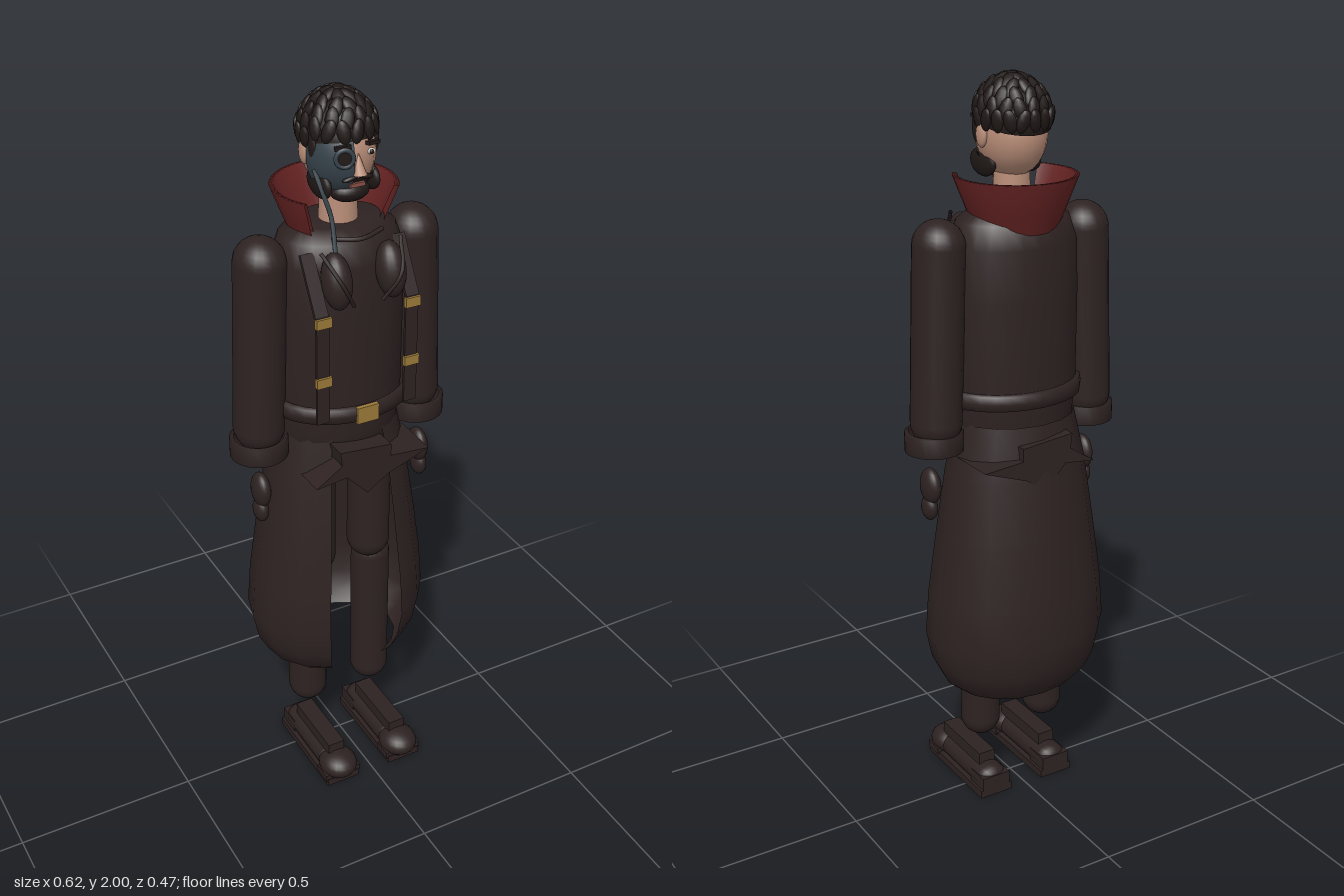
import * as THREE from 'three';

const mat = (name, color, double) => {
  const m = new THREE.MeshStandardMaterial({ color });
  m.name = name;
  if (double) m.side = THREE.DoubleSide;
  return m;
};

export function createModel() {
  const g = new THREE.Group();
  const coat = mat('darkCoat', 0x2e2222, true);
  const red = mat('collarRed', 0x642222, true);
  const gold = mat('brass', 0x9c7a3a);
  const skin = mat('skin', 0xb98d78);
  const hair = mat('hair', 0x201917, true);
  const metal = mat('blueMetal', 0x36424a, true);
  const lip = mat('lips', 0x8a5046);
  const white = mat('eyeWhite', 0xcfc8c0);

  const add = (name, geo, m, pos = [0, 0, 0], scale = [1, 1, 1], rot = [0, 0, 0]) => {
    const o = new THREE.Mesh(geo, m);
    o.name = name;
    o.position.set(...pos);
    o.scale.set(...scale);
    o.rotation.set(...rot);
    g.add(o);
    return o;
  };
  const ball = new THREE.SphereGeometry(1, 20, 14);
  const box = new THREE.BoxGeometry(1, 1, 1);
  const lathe = (pts, n, start = 0, len = Math.PI * 2) =>
    new THREE.LatheGeometry(pts.map(p => new THREE.Vector2(...p)), n, start, len);
  const tube = (pts, r, n = 12) => new THREE.TubeGeometry(
    new THREE.CatmullRomCurve3(pts.map(p => new THREE.Vector3(...p))), n, r, 8);

  // Coat skirt, open at the front, with a rounded hem
  add('coatSkirt', lathe([[0.18, 0.335], [0.215, 0.365], [0.243, 0.42], [0.259, 0.5], [0.25, 0.62],
    [0.225, 0.8], [0.197, 0.98], [0.165, 1.12]], 14, 0.45, Math.PI * 2 - 0.9),
    coat, [0, 0, -0.026], [1, 1, 0.8]);

  // Torso
  add('torso', lathe([[0, 1.0], [0.155, 1.02], [0.168, 1.1], [0.178, 1.2], [0.18, 1.45], [0.176, 1.58],
    [0.155, 1.64], [0.11, 1.67], [0, 1.67]], 24), coat, [0, 0, -0.014], [1, 1, 0.74]);

  // Belt and buckle
  add('belt', lathe([[0.18, 1.165], [0.194, 1.168], [0.196, 1.187], [0.194, 1.207], [0.18, 1.21]], 28),
    coat, [0, 0, -0.004], [1, 1, 0.8]);
  add('beltBuckle', box, gold, [0, 1.187, 0.15], [0.062, 0.046, 0.012]);

  // Tied sash, a deep plate passing through the hips
  const sash = new THREE.Shape([[-0.08, 1.09], [-0.075, 1.05], [-0.15, 1.0], [-0.06, 1.01], [0, 0.945],
    [0.06, 0.985], [0.185, 1.03], [0.07, 1.04], [0.07, 1.075]].map(p => new THREE.Vector2(...p)));
  add('sash', new THREE.ExtrudeGeometry(sash, { depth: 0.335, bevelEnabled: false }), coat, [0, 0, -0.18]);

  for (const s of [-1, 1]) {
    const side = s > 0 ? 'left' : 'right';

    // Arm, cuff and gloved hand
    add(side + 'Sleeve', new THREE.CapsuleGeometry(0.067, 0.46, 8, 20), coat,
      [s * 0.223, 1.36, -0.012], [1, 1, 1.08], [0, 0, s * 0.035]);
    add(side + 'Cuff', lathe([[0.066, 1.05], [0.077, 1.052], [0.077, 1.103], [0.066, 1.105]], 24),
      coat, [s * 0.235, 0, -0.006]);
    add(side + 'Palm', ball, coat, [s * 0.24, 0.945, 0.008], [0.024, 0.05, 0.04]);
    add(side + 'Fingers', ball, coat, [s * 0.243, 0.885, 0.01], [0.02, 0.036, 0.03]);

    // Legs
    add(side + 'Thigh', new THREE.CapsuleGeometry(0.06, 0.3, 8, 18), coat, [s * 0.085, 0.84, 0.01]);
    add(side + 'Shin', new THREE.CapsuleGeometry(0.055, 0.4, 8, 18), coat, [s * 0.102, 0.42, -0.007]);

    // Boot: sole, upper, toe cap, heel and ankle straps
    const fx = s * 0.1;
    add(side + 'Sole', box, coat, [fx, 0.011, 0.06], [0.1, 0.022, 0.3]);
    add(side + 'ToeCap', ball, coat, [fx, 0.046, 0.175], [0.054, 0.038, 0.06]);
    add(side + 'BootUpper', new THREE.CapsuleGeometry(0.036, 0.19, 6, 14), coat,
      [fx, 0.045, 0.04], [1.25, 1, 1], [Math.PI / 2, 0, 0]);
    add(side + 'Tongue', box, coat, [fx, 0.085, 0.065], [0.05, 0.05, 0.205]);
    add(side + 'Heel', box, coat, [fx, 0.03, -0.055], [0.085, 0.06, 0.07]);
    add(side + 'ToeStrap', box, coat, [fx, 0.026, 0.18], [0.11, 0.02, 0.055]);

    // Chest straps with brass buckles
    add(side + 'Strap', box, coat, [s * 0.125, 1.34, 0.145], [0.036, 0.3, 0.008]);
    add(side + 'StrapTop', box, coat, [s * 0.127, 1.555, 0.105], [0.036, 0.16, 0.01], [-0.52, 0, 0]);
    for (const y of [1.31, 1.475])
      add(side + 'StrapBuckle', box, gold, [s * 0.125, y, 0.15], [0.042, 0.026, 0.012]);

    // Rounded lapel and hanging cord
    add(side + 'Lapel', ball, coat, [s * 0.075, 1.565, 0.125], [0.038, 0.072, 0.042], [-0.25, 0, 0]);
    add(side + 'Cord', tube([[s * 0.11, 1.64, 0.11], [s * 0.08, 1.57, 0.17], [s * 0.04, 1.5, 0.15]], 0.005),
      coat);

    // Ear
    add(side + 'Ear', ball, skin, [s * 0.089, 1.852, -0.012], [0.012, 0.032, 0.02]);
    // Brow and eye
    add(side + 'Brow', box, hair, [s * 0.04, 1.886, 0.091], [0.04, 0.009, 0.012], [0, s * 0.35, -s * 0.12]);
    add(side + 'Eye', ball, white, [s * 0.038, 1.862, 0.083], [0.014, 0.007, 0.009]);
    add(side + 'Pupil', ball, hair, [s * 0.038, 1.862, 0.09], [0.006, 0.006, 0.004]);
  }

  // Flaring collar, open at the front
  add('collar', lathe([[0.108, 1.615], [0.125, 1.66], [0.16, 1.75], [0.148, 1.75], [0.112, 1.66], [0.098, 1.615]],
    26, Math.PI - 2.2, 4.4), red, [0, 0, -0.028]);
  add('collarChain', tube([[-0.07, 1.66, 0.09], [0, 1.655, 0.11], [0.07, 1.66, 0.09]], 0.006), coat);

  // Neck and head
  add('neck', new THREE.CylinderGeometry(0.045, 0.052, 0.15, 20), skin, [0, 1.7, -0.008]);
  add('head', ball, skin, [0, 1.847, -0.006], [0.088, 0.108, 0.102]);
  add('nose', new THREE.ConeGeometry(0.017, 0.055, 10), skin, [0, 1.842, 0.098], [1, 1, 1.1], [-0.2, 0, 0]);

  // Beard as a band around the jaw, moustache and mouth
  add('beard', new THREE.SphereGeometry(1, 24, 10, Math.PI * 0.95, -Math.PI * 0.9, Math.PI * 0.62, Math.PI * 0.38),
    hair, [0, 1.845, -0.002], [0.092, 0.112, 0.1]);
  add('chinBeard', ball, hair, [0, 1.76, 0.05], [0.052, 0.028, 0.038]);
  for (const s of [-1, 1]) {
    add('beardSide', ball, hair, [s * 0.066, 1.778, 0.02], [0.016, 0.036, 0.058]);
    add('moustache', ball, hair, [s * 0.019, 1.807, 0.091], [0.023, 0.007, 0.01], [0, 0, -s * 0.25]);
    add('sideburn', ball, hair, [s * 0.083, 1.868, 0.02], [0.01, 0.04, 0.018]);
  }
  add('mouth', box, lip, [0, 1.787, 0.089], [0.04, 0.01, 0.009]);

  // Half mask over the right side of the face, with eyepiece and hose
  add('mask', new THREE.SphereGeometry(1, 16, 14, 0.1, Math.PI * 0.42, Math.PI * 0.24, Math.PI * 0.5),
    metal, [0, 1.847, -0.003], [0.095, 0.113, 0.108]);
  add('eyepiece', new THREE.TorusGeometry(0.021, 0.006, 8, 18), metal, [-0.04, 1.862, 0.1], [1, 1, 1], [0, -0.35, 0]);
  add('eyepieceLens', new THREE.CylinderGeometry(0.019, 0.019, 0.008, 18), hair, [-0.04, 1.862, 0.099],
    [1, 1, 1], [Math.PI / 2, 0, 0.35]);
  add('maskHose', tube([[-0.085, 1.82, 0.03], [-0.078, 1.77, 0.06], [-0.065, 1.71, 0.08], [-0.07, 1.63, 0.11]], 0.006),
    metal);

  // Hair cap and overlapping locks
  add('hairCap', new THREE.SphereGeometry(1, 24, 14, 0, Math.PI * 2, 0, 1.6), hair,
    [0, 1.88, -0.01], [0.094, 0.102, 0.108], [-0.2, 0, 0]);
  const centre = new THREE.Vector3(0, 1.88, -0.01);
  const lockGeo = new THREE.SphereGeometry(1, 8, 6);
  for (let r = 0; r < 6; r++) {
    const polar = 0.12 + r * 0.27, n = 4 + r * 3;
    for (let i = 0; i < n; i++) {
      const a = ((i + (r % 2) * 0.5) / n) * Math.PI * 2;
      if (r > 4 && Math.cos(a) > 0.35) continue;
      const d = new THREE.Vector3(Math.sin(polar) * Math.sin(a), Math.cos(polar), Math.sin(polar) * Math.cos(a));
      const lock = add('hairLock', lockGeo, hair, [0, 0, 0], [0.017, 0.03, 0.009]);
      lock.position.copy(d).multiply(new THREE.Vector3(0.094, 0.108, 0.108)).add(centre);
      lock.lookAt(lock.position.clone().add(d));
      lock.rotateX(0.22);
      lock.rotateZ(0.3 * Math.sin(i * 2.3 + r));
    }
  }
  return g;
}
